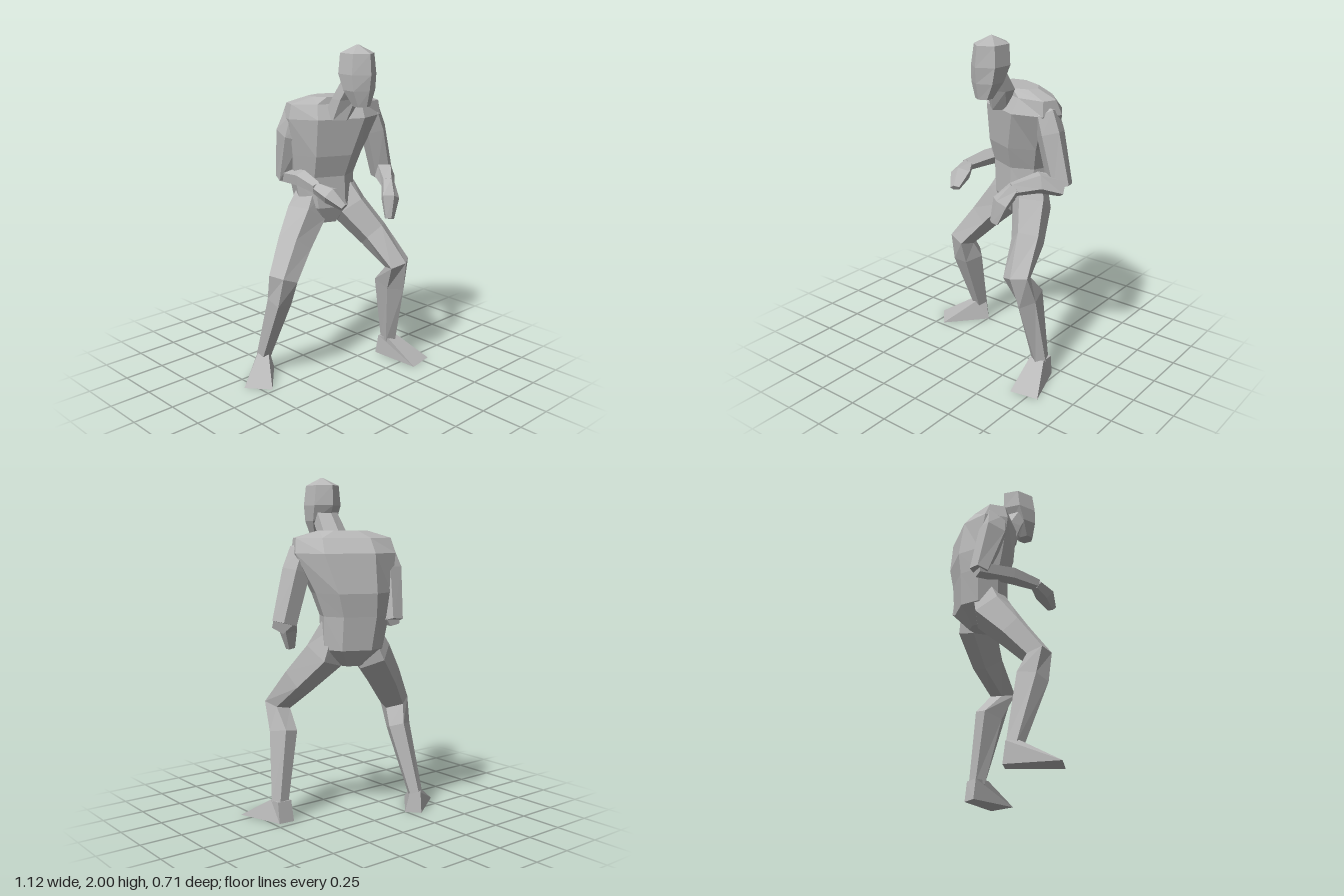
import * as THREE from 'three';

const skin = new THREE.MeshStandardMaterial({ color: 0xb8b8b8 });
skin.name = 'plain grey';

// Skin a closed, faceted surface over a stack of rings with equal point counts
function loft(name, rings) {
  const n = rings[0].length;
  const tris = [];
  const centre = (r) => r.reduce((s, p) => s.add(p), new THREE.Vector3()).divideScalar(n);
  const first = centre(rings[0]), last = centre(rings[rings.length - 1]);
  for (let j = 0; j < n; j++) {
    const k = (j + 1) % n;
    for (let i = 0; i + 1 < rings.length; i++) {
      const a = rings[i][j], b = rings[i][k], c = rings[i + 1][k], d = rings[i + 1][j];
      tris.push([a, b, c], [a, c, d]);
    }
    tris.push([first, rings[0][k], rings[0][j]]);
    tris.push([last, rings[rings.length - 1][j], rings[rings.length - 1][k]]);
  }
  // Turn the faces outward if the rings run the other way round
  let volume = 0;
  for (const [a, b, c] of tris) {
    volume += a.clone().sub(first).dot(b.clone().sub(first).cross(c.clone().sub(first)));
  }
  if (volume < 0) tris.forEach((t) => t.reverse());
  const geometry = new THREE.BufferGeometry().setFromPoints(tris.flat());
  geometry.computeVertexNormals();
  const mesh = new THREE.Mesh(geometry, skin);
  mesh.name = name;
  return mesh;
}

// Level rings [x, y, z, halfWidth, halfDepth], turned about y, following a 2D outline
function stack(name, outline, yaw, stations) {
  const c = Math.cos(yaw), s = Math.sin(yaw);
  return loft(name, stations.map(([x, y, z, w, d]) => outline.map(([u, v]) =>
    new THREE.Vector3(x + u * w * c - v * d * s, y, z + u * w * s + v * d * c))));
}

// Five-sided rings set square to a path; facing points to the ridge along the limb's front
function limb(name, facing, stations) {
  const sides = 5;
  const points = stations.map(([x, y, z]) => new THREE.Vector3(x, y, z));
  const front = new THREE.Vector3(...facing);
  return loft(name, stations.map(([, , , w, d], i) => {
    const along = points[Math.min(i + 1, points.length - 1)].clone()
      .sub(points[Math.max(i - 1, 0)]).normalize();
    const across = along.clone().cross(front).normalize();
    const out = across.clone().cross(along);
    return Array.from({ length: sides }, (_, j) => {
      const a = (j / sides) * Math.PI * 2;
      return points[i].clone().addScaledVector(across, Math.sin(a) * w * 1.08)
        .addScaledVector(out, Math.cos(a) * d * 1.05);
    });
  }));
}

// Wedge foot from a ground outline and an ankle outline, corners as [x, z]
function foot(name, ground, ankle) {
  const ring = (corners, y) => corners.map(([x, z]) => new THREE.Vector3(x, y, z));
  return loft(name, [ring(ground, 0), ring(ankle, 0.125)]);
}

export function createModel() {
  const model = new THREE.Group();
  model.name = 'crouchingFigure';

  // Torso, turned towards its right
  const chestOutline = [[1, 0.3], [0.5, 1], [-0.5, 1], [-1, 0.4],
    [-1, -0.45], [-0.5, -1], [0.5, -1], [1, -0.45]];
  model.add(stack('torso', chestOutline, 0.42, [
    [0.09, 0.93, -0.13, 0.07, 0.08],
    [0.1, 1.03, -0.15, 0.17, 0.14],
    [0.09, 1.22, -0.165, 0.19, 0.145],
    [0.1, 1.35, -0.15, 0.22, 0.17],
    [0.125, 1.57, -0.11, 0.29, 0.165],
    [0.125, 1.655, -0.1, 0.275, 0.11],
    [0.11, 1.695, -0.085, 0.14, 0.085],
  ]));

  // Head and neck, pushed forward
  const hexagon = Array.from({ length: 6 }, (_, i) => {
    const a = (i * Math.PI) / 3;
    return [Math.sin(a) / 0.87, Math.cos(a)];
  });
  model.add(stack('neck', hexagon, 0.1, [
    [0.06, 1.57, -0.01, 0.06, 0.1],
    [0.08, 1.69, 0.055, 0.077, 0.08],
    [0.08, 1.8, 0.125, 0.068, 0.075],
  ]));
  model.add(stack('head', hexagon, 0.1, [
    [0.07, 1.66, 0.19, 0.045, 0.045],
    [0.075, 1.75, 0.165, 0.08, 0.09],
    [0.08, 1.84, 0.143, 0.09, 0.122],
    [0.083, 1.955, 0.138, 0.078, 0.115],
    [0.085, 2, 0.14, 0.006, 0.006],
  ]));

  // Left arm, elbow out to the side
  model.add(limb('leftUpperArm', [0, 0, 1], [
    [0.29, 1.61, -0.02, 0.03, 0.05],
    [0.345, 1.57, -0.015, 0.07, 0.075],
    [0.38, 1.47, -0.01, 0.075, 0.08],
    [0.457, 1.18, -0.005, 0.07, 0.065],
  ]));
  const palm = [0, 1, 1];
  model.add(limb('leftForearm', palm, [
    [0.475, 1.18, 0, 0.057, 0.057],
    [0.38, 1.21, 0.09, 0.06, 0.06],
    [0.28, 1.18, 0.21, 0.038, 0.038],
  ]));
  model.add(limb('leftHand', palm, [
    [0.29, 1.19, 0.2, 0.038, 0.038],
    [0.245, 1.11, 0.26, 0.057, 0.042],
    [0.215, 0.99, 0.285, 0.03, 0.02],
  ]));

  // Right arm, elbow drawn back
  model.add(limb('rightUpperArm', [0, 0, 1], [
    [-0.04, 1.62, -0.18, 0.03, 0.06],
    [-0.085, 1.57, -0.2, 0.065, 0.085],
    [-0.107, 1.47, -0.225, 0.065, 0.095],
    [-0.08, 1.19, -0.31, 0.057, 0.053],
  ]));
  model.add(limb('rightForearm', palm, [
    [-0.075, 1.2, -0.325, 0.045, 0.045],
    [-0.12, 1.22, -0.1, 0.05, 0.05],
    [-0.16, 1.2, 0.07, 0.035, 0.035],
  ]));
  model.add(limb('rightHand', palm, [
    [-0.16, 1.2, 0.06, 0.035, 0.035],
    [-0.135, 1.17, 0.15, 0.062, 0.045],
    [-0.11, 1.11, 0.235, 0.03, 0.02],
  ]));

  // Left leg, stepping forward
  model.add(limb('leftLeg', [0, 0.3, 1], [
    [0.19, 1.17, -0.12, 0.08, 0.07],
    [0.225, 1.0, -0.06, 0.105, 0.125],
    [0.3, 0.84, 0.08, 0.09, 0.1],
    [0.345, 0.67, 0.24, 0.08, 0.07],
    [0.37, 0.52, 0.16, 0.065, 0.105],
    [0.425, 0.11, 0.11, 0.047, 0.05],
  ]));
  model.add(foot('leftFoot',
    [[0.375, 0.04], [0.47, 0.05], [0.56, 0.33], [0.39, 0.36]],
    [[0.38, 0.06], [0.47, 0.065], [0.47, 0.14], [0.38, 0.155]]));

  // Right leg, braced behind
  model.add(limb('rightLeg', [-0.65, 0.2, 0.75], [
    [0.03, 1.13, -0.17, 0.09, 0.09],
    [-0.035, 0.98, -0.17, 0.115, 0.12],
    [-0.175, 0.82, -0.125, 0.1, 0.09],
    [-0.31, 0.65, -0.07, 0.083, 0.075],
    [-0.3, 0.51, -0.115, 0.07, 0.092],
    [-0.32, 0.11, -0.255, 0.042, 0.048],
  ]));
  model.add(foot('rightFoot',
    [[-0.31, -0.325], [-0.245, -0.25], [-0.45, -0.02], [-0.56, -0.15]],
    [[-0.315, -0.31], [-0.275, -0.26], [-0.32, -0.21], [-0.365, -0.26]]));

  return model;
}
